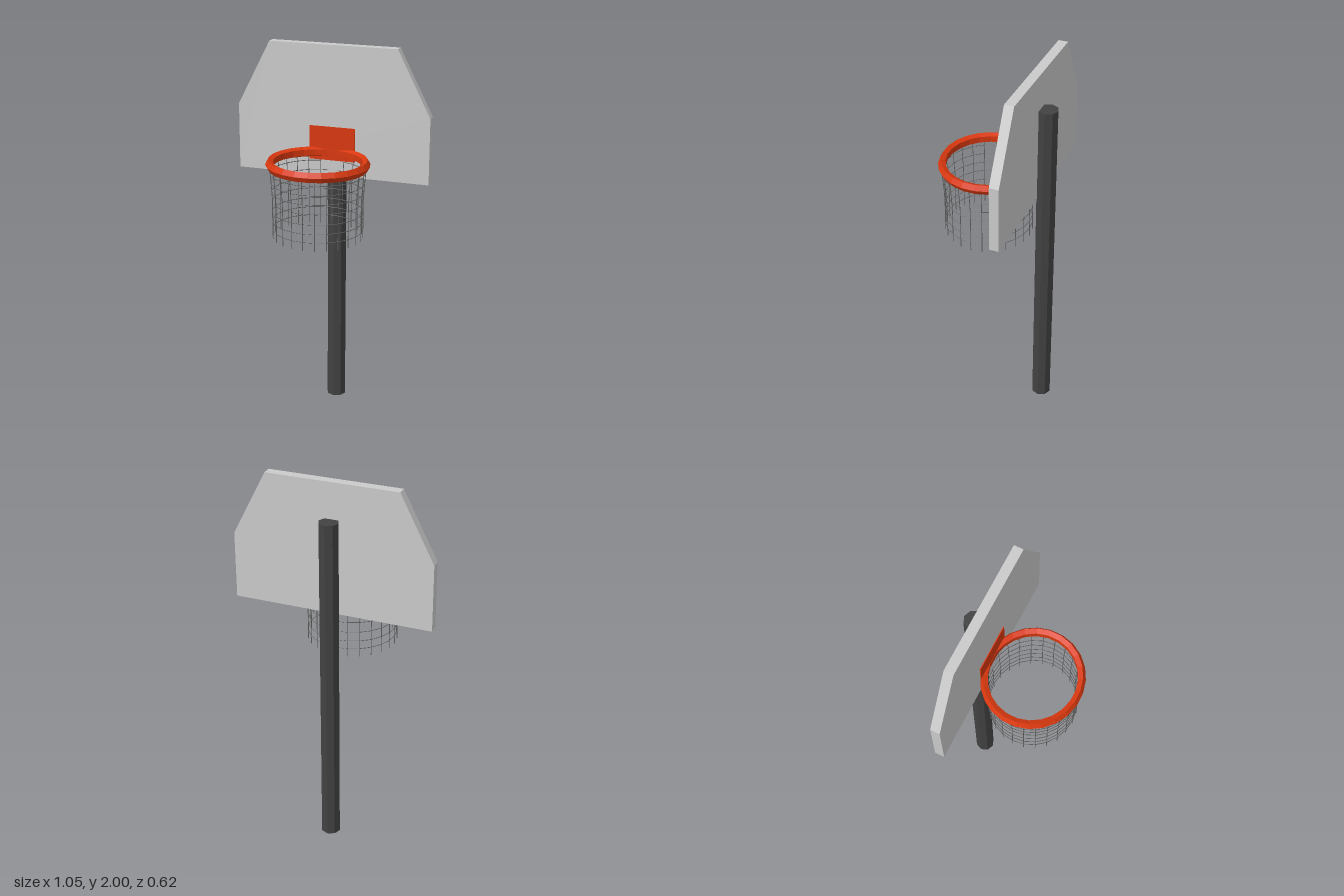
import * as THREE from 'three';

const mat = (name, color, extra = {}) => {
  const m = new THREE.MeshStandardMaterial({ color, flatShading: true, ...extra });
  m.name = name;
  return m;
};

export function createModel() {
  const group = new THREE.Group();
  group.name = 'basketballHoop';
  const boardGrey = mat('boardGrey', 0xcacaca);
  const postGrey = mat('postGrey', 0x424242);
  const rimOrange = mat('rimOrange', 0xd9380f);
  const netGrey = mat('netGrey', 0x606060, { side: THREE.DoubleSide });

  const add = (name, geometry, material, parent = group) => {
    const mesh = new THREE.Mesh(geometry, material);
    mesh.name = name;
    parent.add(mesh);
    return mesh;
  };

  // Octagonal post, standing against the back of the board
  add('post', new THREE.CylinderGeometry(0.052, 0.052, 1.81, 8), postGrey).position.set(0, 0.905, -0.26);

  // Backboard with cut upper corners
  const outline = new THREE.Shape([
    [-0.525, 1.305], [0.525, 1.305], [0.525, 1.655],
    [0.347, 2], [-0.347, 2], [-0.525, 1.655],
  ].map(([x, y]) => new THREE.Vector2(x, y)));
  add('backboard', new THREE.ExtrudeGeometry(outline, { depth: 0.05, bevelEnabled: false }), boardGrey)
    .position.z = -0.225;

  // Painted target on the board
  add('target', new THREE.BoxGeometry(0.25, 0.18, 0.006), rimOrange).position.set(0, 1.48, -0.173);

  // Five-sided ring, slightly flattened front to back
  const ring = new THREE.TorusGeometry(0.248, 0.022, 5, 24);
  ring.rotateZ(Math.PI / 24).rotateX(-Math.PI / 2).scale(1, 1.26, 0.957);
  add('rim', ring, rimOrange).position.set(0, 1.43, 0.05);

  // Net: vertical strands crossed by hoops
  const net = new THREE.Group();
  net.name = 'net';
  net.position.z = 0.053;
  net.scale.z = 0.965;
  group.add(net);
  const thread = 0.002;
  const profile = [[0.248, 1.41], [0.242, 1.34], [0.235, 1.25], [0.235, 1.04]];
  const radiusAt = (y) => {
    for (let i = 1; i < profile.length; i++) {
      const [r0, y0] = profile[i - 1], [r1, y1] = profile[i];
      if (y >= y1) return r0 + (r1 - r0) * (y0 - y) / (y0 - y1);
    }
    return 0.235;
  };
  const strands = 24;
  for (let i = 0; i < strands; i++) {
    const a = (i / strands) * Math.PI * 2;
    const path = new THREE.CurvePath();
    const points = profile.map(([r, y]) => new THREE.Vector3(r * Math.cos(a), y, r * Math.sin(a)));
    for (let k = 1; k < points.length; k++) path.add(new THREE.LineCurve3(points[k - 1], points[k]));
    add('netStrand', new THREE.TubeGeometry(path, 8, thread, 4), netGrey, net);
  }
  for (const y of [1.385, 1.335, 1.285, 1.235, 1.18, 1.13, 1.085]) {
    const hoop = new THREE.TorusGeometry(radiusAt(y), thread, 4, strands);
    hoop.rotateX(Math.PI / 2);
    add('netHoop', hoop, netGrey, net).position.y = y;
  }

  return group;
}
